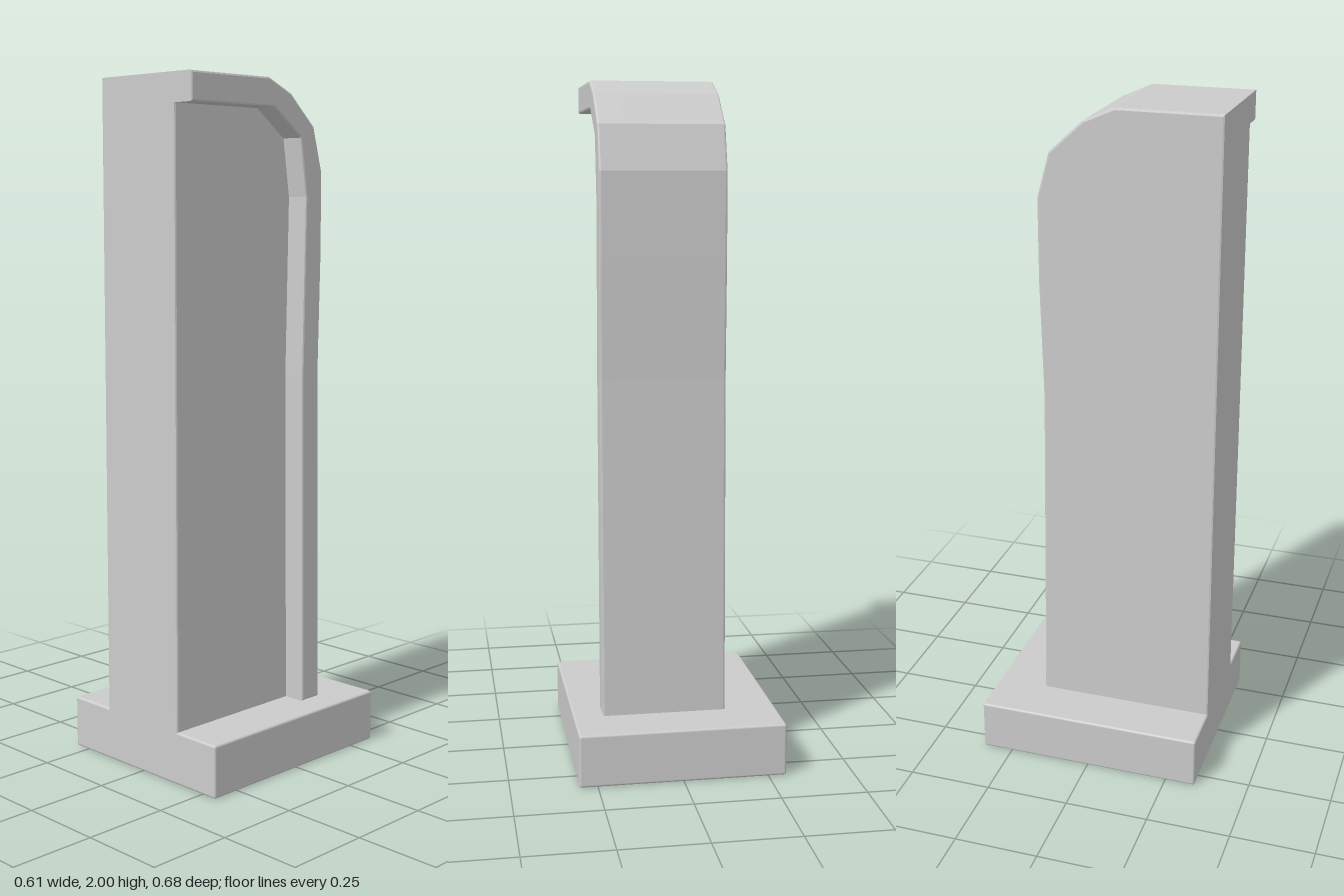
import * as THREE from 'three';
import { RoundedBoxGeometry } from 'three/addons/geometries/RoundedBoxGeometry.js';

const BEVEL = 0.006;
const material = new THREE.MeshStandardMaterial({ color: 0xcccccc });

// Side profiles as [z, y], running from the front over the top and down the back
const outer = [[0.342, 2], [0.04, 2], [-0.05, 1.96], [-0.148, 1.87], [-0.184, 1.74],
  [-0.184, 1.5], [-0.175, 1.15], [-0.19, 0.155]];
const inner = [[0.342, 1.918], [0.02, 1.918], [-0.09, 1.837], [-0.115, 1.67],
  [-0.104, 1.15], [-0.115, 0.155]];

// Extrudes a side profile between two x positions, with softened end edges
function slab(name, profile, x0, x1) {
  const shape = new THREE.Shape(profile.map(([z, y]) => new THREE.Vector2(-z, y)));
  const geometry = new THREE.ExtrudeGeometry(shape, {
    depth: x1 - x0 - 2 * BEVEL, bevelEnabled: true, bevelSize: BEVEL,
    bevelThickness: BEVEL, bevelOffset: -BEVEL, bevelSegments: 2,
  });
  geometry.rotateY(Math.PI / 2).translate(x0 + BEVEL, 0, 0);
  const mesh = new THREE.Mesh(geometry, material);
  mesh.name = name;
  return mesh;
}

export function createModel() {
  const group = new THREE.Group();
  group.name = 'pillar';

  // Foot plate
  const base = new THREE.Mesh(new RoundedBoxGeometry(0.606, 0.155, 0.684, 2, 0.007), material);
  base.name = 'base';
  base.position.y = 0.0775;
  group.add(base);

  // Solid upright, sunk a little into the base
  group.add(slab('upright', [...outer, [-0.19, 0.1], [0.342, 0.1]], -0.15, 0.15));

  // Curved rim overhanging on one side, following the top and back
  group.add(slab('rim', [...outer, ...[...inner].reverse()], 0.13, 0.217));

  return group;
}
